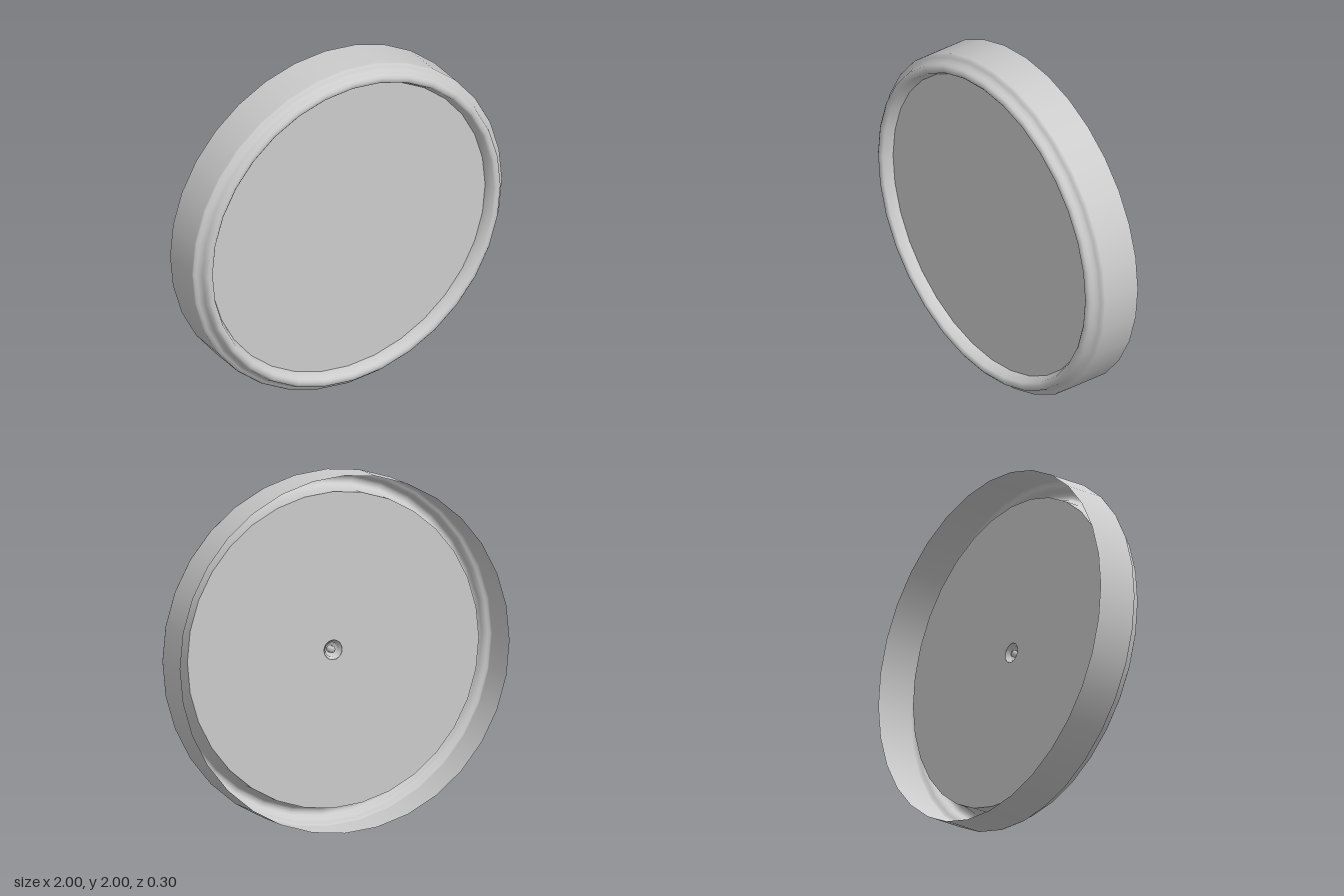
import * as THREE from 'three';

const SIDES = 32;
const material = new THREE.MeshStandardMaterial({ color: 0xcccccc, side: THREE.DoubleSide });

// Revolves [radius, z] pairs around the z axis
function turned(name, profile, sides) {
  const points = profile.map(([r, z]) => new THREE.Vector2(r, z));
  const geometry = new THREE.LatheGeometry(points, sides).rotateX(Math.PI / 2);
  const mesh = new THREE.Mesh(geometry, material);
  mesh.name = name;
  return mesh;
}

export function createModel() {
  const group = new THREE.Group();
  group.name = 'roundCase';
  const body = new THREE.Group();
  body.name = 'body';
  body.position.y = 1;
  group.add(body);

  // Open-backed shell with a stepped, rounded front lip
  body.add(turned('rim', [
    [1, -0.152], [1, 0.075], [0.996, 0.086], [0.982, 0.093], [0.967, 0.103],
    [0.959, 0.122], [0.952, 0.142], [0.938, 0.152], [0.92, 0.152], [0.908, 0.143],
    [0.9, 0.12], [0.885, 0.09], [0.885, 0],
  ], SIDES));

  // Flat front cover
  const cover = new THREE.Mesh(new THREE.CircleGeometry(0.885, SIDES), material);
  cover.name = 'frontCover';
  cover.position.z = 0.09;
  body.add(cover);

  // Inner plate with a central hole
  const plate = new THREE.Mesh(new THREE.RingGeometry(0.055, 0.885, SIDES), material);
  plate.name = 'backPlate';
  body.add(plate);

  // Stepped socket and spindle in the hole
  body.add(turned('socket', [[0.055, 0], [0.055, 0.02], [0.04, 0.02], [0.04, 0.045], [0, 0.045]], 16));
  body.add(turned('spindle', [[0, 0.012], [0.02, 0.012], [0.02, 0.045]], 12));

  return group;
}
